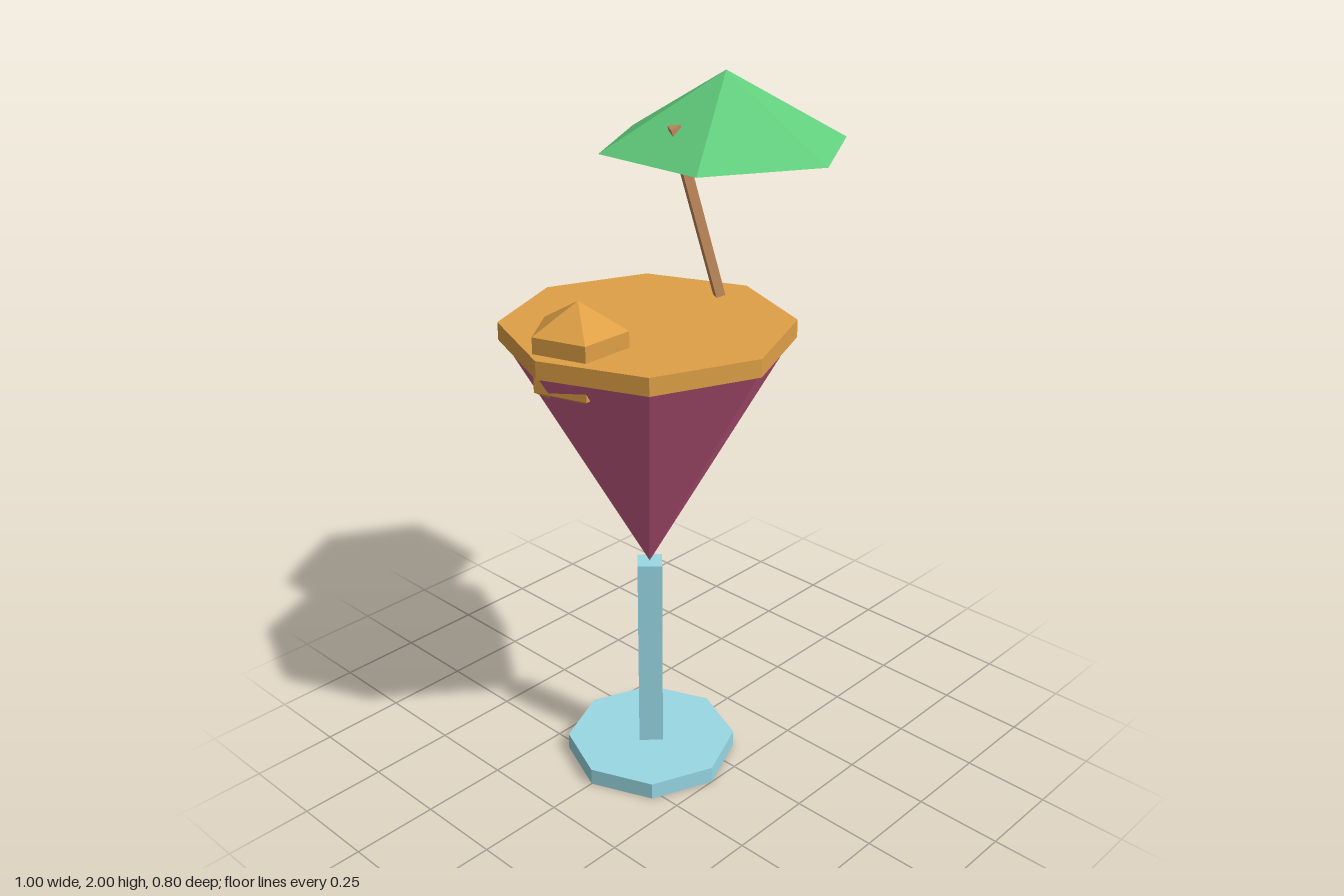
import * as THREE from 'three';

export function createModel() {
  const model = new THREE.Group();
  model.name = 'cocktail';

  const material = (name, color) => {
    const m = new THREE.MeshStandardMaterial({ color, flatShading: true });
    m.name = name;
    return m;
  };
  const glass = material('pale blue glass', 0x98d8e4);
  const drink = material('berry pink', 0xcc5e86);
  const amber = material('amber', 0xdfa046);
  const wood = material('stick brown', 0xbd885a);
  const paper = material('parasol green', 0x62ce7d);

  const add = (name, geometry, mat, x, y) => {
    const mesh = new THREE.Mesh(geometry, mat);
    mesh.name = name;
    mesh.position.set(x, y, 0);
    model.add(mesh);
    return mesh;
  };

  // Glass: octagonal foot, square stem, pointed bowl and rim
  const axis = -0.1;
  add('foot', new THREE.CylinderGeometry(0.25, 0.25, 0.05, 8), glass, axis, 0.025);
  add('stem', new THREE.CylinderGeometry(0.05, 0.05, 0.6, 4), glass, axis, 0.35);
  add('bowl', new THREE.ConeGeometry(0.4, 0.7, 8).rotateX(Math.PI), drink, axis, 1.0);
  add('rim', new THREE.CylinderGeometry(0.4, 0.4, 0.05, 8), amber, axis, 1.355);

  // Five-sided fruit sunk through the rim, one corner to the back
  add('fruit', new THREE.SphereGeometry(0.15, 5, 3).rotateY(-Math.PI / 2), amber, -0.35, 1.35);

  // Leaning three-sided stick whose tip pokes through the parasol
  const stick = add('parasolStick',
    new THREE.CylinderGeometry(0.02, 0.02, 0.6, 3).rotateY(Math.PI), wood, 0.1, 1.6);
  stick.rotation.z = 0.35;

  add('parasol', new THREE.ConeGeometry(0.35, 0.2, 6), paper, 0.2, 1.9);

  return model;
}
